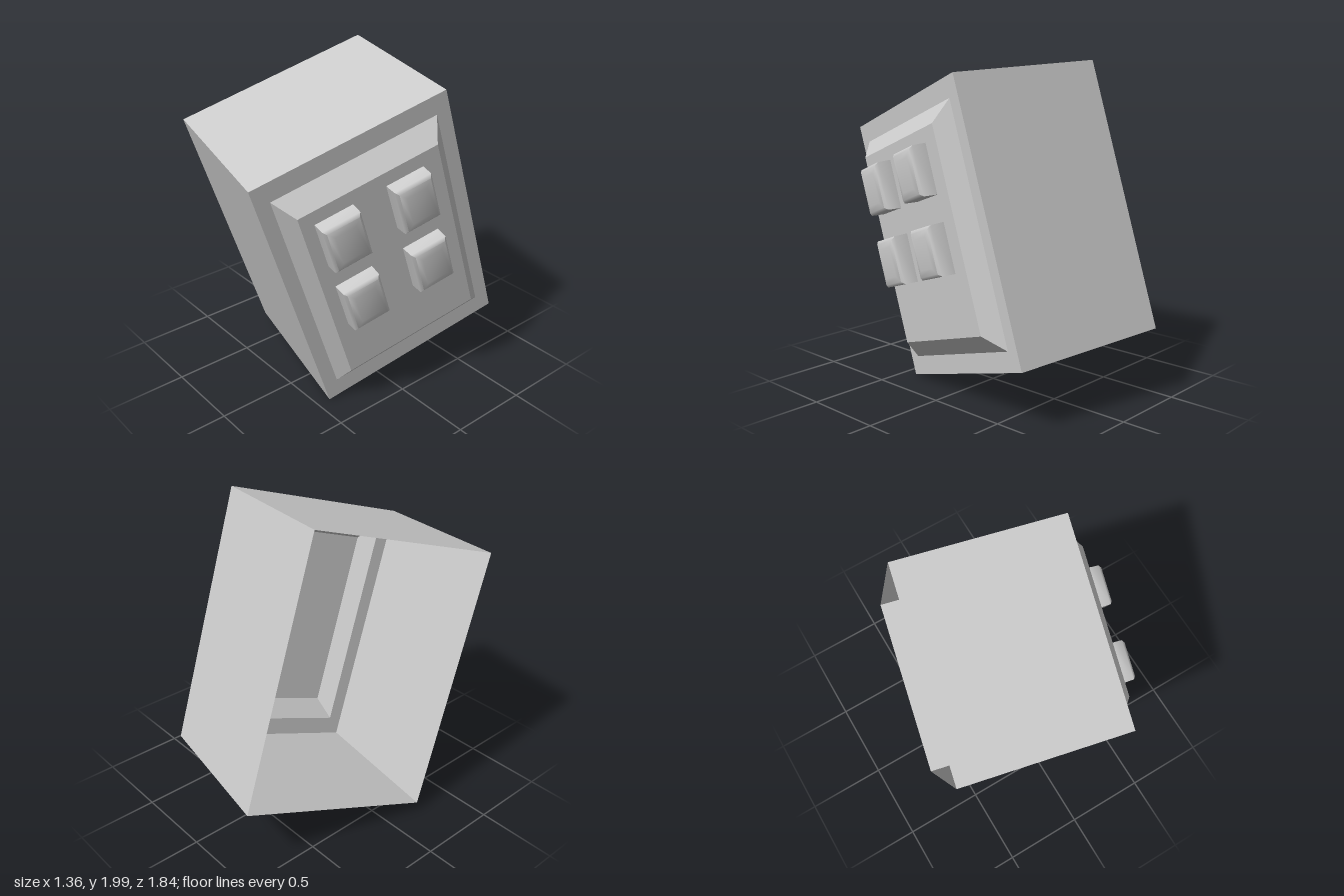
import * as THREE from 'three';
import { toCreasedNormals } from 'three/addons/utils/BufferGeometryUtils.js';

const material = new THREE.MeshStandardMaterial({ color: 0xcccccc, side: THREE.DoubleSide });

// Joins rectangular rings [x, halfHeight, halfDepth] along +x; optionally closes the last one.
function loftRings(rings, capped) {
  const corners = [[-1, 1], [-1, -1], [1, -1], [1, 1]];
  const point = (r, j) => [rings[r][0], corners[j % 4][0] * rings[r][1], corners[j % 4][1] * rings[r][2]];
  const pos = [];
  const quad = (a, b, c, d) => pos.push(...a, ...b, ...c, ...a, ...c, ...d);
  for (let r = 0; r < rings.length - 1; r++) {
    for (let j = 0; j < 4; j++) quad(point(r, j), point(r, j + 1), point(r + 1, j + 1), point(r + 1, j));
  }
  const last = rings.length - 1;
  if (capped) quad(point(last, 0), point(last, 1), point(last, 2), point(last, 3));
  const geometry = new THREE.BufferGeometry();
  geometry.setAttribute('position', new THREE.Float32BufferAttribute(pos, 3));
  geometry.computeVertexNormals();
  return geometry;
}

function addMesh(parent, name, geometry) {
  const mesh = new THREE.Mesh(geometry, material);
  mesh.name = name;
  parent.add(mesh);
  return mesh;
}

export function createModel() {
  const group = new THREE.Group();
  group.name = 'buttonBox';
  const box = new THREE.Group();
  box.name = 'tiltedBox';
  group.add(box);

  const X = 0.4985, H = 0.822, D = 0.608;

  // Four thin walls, open on the side opposite the buttons
  addMesh(box, 'housingWalls', loftRings([[-X, H, D], [X, H, D]], false));

  // Flat border around the raised panel
  addMesh(box, 'frontFrame', loftRings([[X, H, D], [X, 0.704, 0.521]], false));

  // Raised panel with sloping edges
  addMesh(box, 'raisedPanel', loftRings([[X, 0.704, 0.521], [X + 0.095, 0.594, 0.44]], true));

  // Four buttons with softly crowned tops
  const buttonGeometry = toCreasedNormals(
    loftRings([[0, 0.148, 0.12], [0.083, 0.145, 0.117], [0.1, 0.128, 0.1], [0.108, 0.09, 0.065]], true), 0.95);
  for (const y of [0.363, -0.088]) {
    for (const z of [0.243, -0.206]) {
      addMesh(box, 'button', buttonGeometry).position.set(X + 0.095, y, z);
    }
  }

  // Tilt the whole box and set it on its lowest corner
  const up = new THREE.Vector3(0, 0.9517, 0.3071).normalize();
  const depth = new THREE.Vector3(-0.2139, -0.3002, 0.9295).normalize();
  const out = new THREE.Vector3().crossVectors(up, depth).normalize();
  depth.crossVectors(out, up);
  box.quaternion.setFromRotationMatrix(new THREE.Matrix4().makeBasis(out, up, depth));
  box.position.set(-0.0725, 1.0025, 0);
  return group;
}
